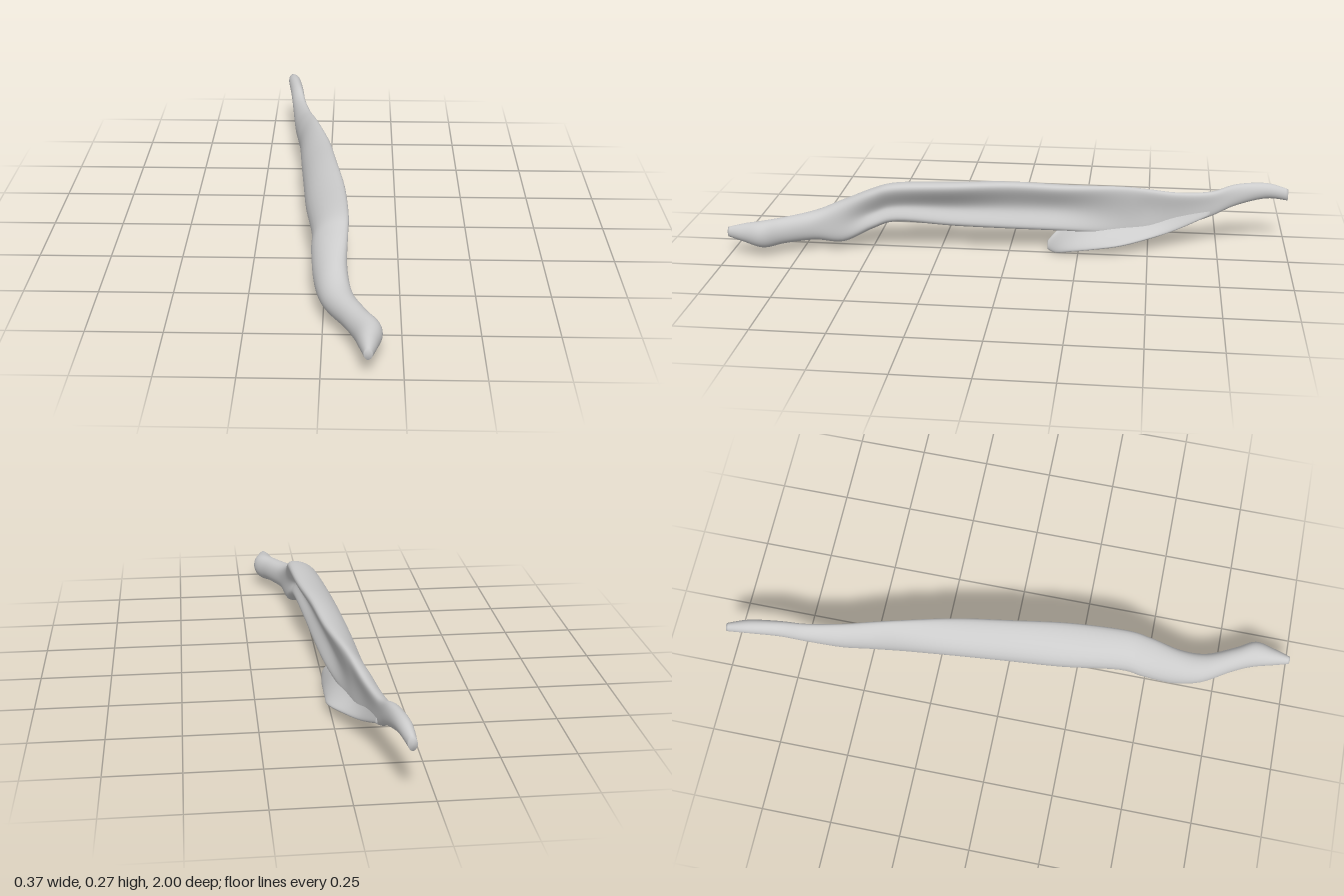
import * as THREE from 'three';

// Rows run front to back: z, upper edge x y, middle x y, lower edge x y, thickness
const BODY = [
  [1.0, 0.142, 0.093, 0.142, 0.088, 0.142, 0.083, 0.026],
  [0.94, 0.143, 0.092, 0.143, 0.087, 0.143, 0.083, 0.06],
  [0.87, 0.143, 0.088, 0.14, 0.085, 0.141, 0.081, 0.092],
  [0.8, 0.105, 0.092, 0.103, 0.09, 0.105, 0.086, 0.09],
  [0.7, 0.053, 0.098, 0.048, 0.095, 0.053, 0.09, 0.102],
  [0.6, 0.035, 0.137, 0.023, 0.11, 0.035, 0.084, 0.108],
  [0.49, 0.04, 0.197, 0.004, 0.157, 0.027, 0.127, 0.094],
  [0.4, 0.043, 0.226, 0.001, 0.185, 0.022, 0.152, 0.088],
  [0.2, 0.028, 0.234, -0.026, 0.18, 0, 0.134, 0.086],
  [0, 0, 0.234, -0.045, 0.175, -0.015, 0.125, 0.084],
  [-0.2, -0.025, 0.223, -0.064, 0.165, -0.035, 0.114, 0.078],
  [-0.4, -0.06, 0.214, -0.083, 0.15, -0.07, 0.092, 0.066],
  [-0.5, -0.08, 0.203, -0.1, 0.15, -0.088, 0.095, 0.06],
  [-0.6, -0.1, 0.19, -0.117, 0.15, -0.11, 0.106, 0.054],
  [-0.72, -0.123, 0.19, -0.132, 0.168, -0.125, 0.143, 0.05],
  [-0.81, -0.141, 0.213, -0.143, 0.2, -0.138, 0.186, 0.052],
  [-0.92, -0.16, 0.217, -0.16, 0.213, -0.16, 0.208, 0.048],
  [-1.0, -0.172, 0.203, -0.172, 0.196, -0.172, 0.188, 0.028],
];
const FLAP = [
  [-0.14, 0, 0.04, 0, 0.03, 0, 0.021, 0.014],
  [-0.17, -0.01, 0.065, -0.01, 0.04, -0.002, 0.018, 0.034],
  [-0.22, -0.035, 0.1, -0.025, 0.055, -0.003, 0.025, 0.038],
  [-0.3, -0.065, 0.11, -0.045, 0.068, -0.003, 0.036, 0.04],
  [-0.4, -0.085, 0.12, -0.065, 0.075, -0.006, 0.05, 0.04],
  [-0.5, -0.1, 0.13, -0.09, 0.09, -0.048, 0.066, 0.038],
  [-0.6, -0.115, 0.15, -0.11, 0.12, -0.085, 0.092, 0.035],
  [-0.72, -0.125, 0.165, -0.125, 0.15, -0.115, 0.14, 0.03],
];

// Smoothly blended row at position s (in row units)
function sampleRow(rows, s) {
  const i = Math.min(Math.floor(s), rows.length - 2), f = s - i;
  const row = k => rows[Math.max(0, Math.min(rows.length - 1, k))];
  return rows[i].map((_, c) => {
    const [p, q, r, t] = [-1, 0, 1, 2].map(d => row(i + d)[c]);
    return q + 0.5 * f * (r - p + f * (2 * p - 5 * q + 4 * r - t + f * (3 * (q - r) + t - p)));
  });
}

// Closed crescent outline: a rounded band following upper edge -> middle -> lower edge
function outline([z, tx, ty, mx, my, bx, by, w], sides) {
  const cx = 2 * mx - (tx + bx) / 2, cy = 2 * my - (ty + by) / 2;
  const points = [];
  for (let j = 0; j < sides; j++) {
    const a = (j / sides) * Math.PI * 2, t = (1 - Math.cos(a)) / 2, u = 1 - t;
    const x = u * u * tx + 2 * u * t * cx + t * t * bx;
    const y = u * u * ty + 2 * u * t * cy + t * t * by;
    let dx = 2 * (u * (cx - tx) + t * (bx - cx));
    let dy = 2 * (u * (cy - ty) + t * (by - cy)) - 0.05;
    const len = Math.hypot(dx, dy);
    dx /= len;
    dy /= len;
    const along = -Math.cos(a) * w / 2, across = Math.sin(a) * w / 2;
    points.push([x + along * dx + across * dy, y + along * dy - across * dx, z]);
  }
  return points;
}

// Skin the outlines and close both ends
function loft(rows, steps, sides) {
  const count = (rows.length - 1) * steps;
  const pos = [], index = [];
  for (let i = 0; i <= count; i++) {
    for (const p of outline(sampleRow(rows, i / steps), sides)) pos.push(...p);
  }
  for (const r of [rows[0], rows[rows.length - 1]]) pos.push(r[3], r[4], r[0]);
  const first = (count + 1) * sides, last = first + 1;
  for (let j = 0; j < sides; j++) {
    const k = (j + 1) % sides;
    for (let i = 0; i < count; i++) {
      const a = i * sides + j, b = i * sides + k;
      index.push(a, a + sides, b, b, a + sides, b + sides);
    }
    index.push(first, j, k, last, count * sides + k, count * sides + j);
  }
  const geometry = new THREE.BufferGeometry();
  geometry.setAttribute('position', new THREE.Float32BufferAttribute(pos, 3));
  geometry.setIndex(index);
  geometry.computeVertexNormals();
  return geometry;
}

export function createModel() {
  const group = new THREE.Group();
  const material = new THREE.MeshStandardMaterial({ color: 0xcccccc });

  // Long curved band tapering into a cord at each end
  const body = new THREE.Mesh(loft(BODY, 6, 40), material);
  body.name = 'muscleBody';

  // Lower flap curling under the back half
  const flap = new THREE.Mesh(loft(FLAP, 6, 32), material);
  flap.name = 'lowerFlap';

  group.add(body, flap);
  return group;
}
